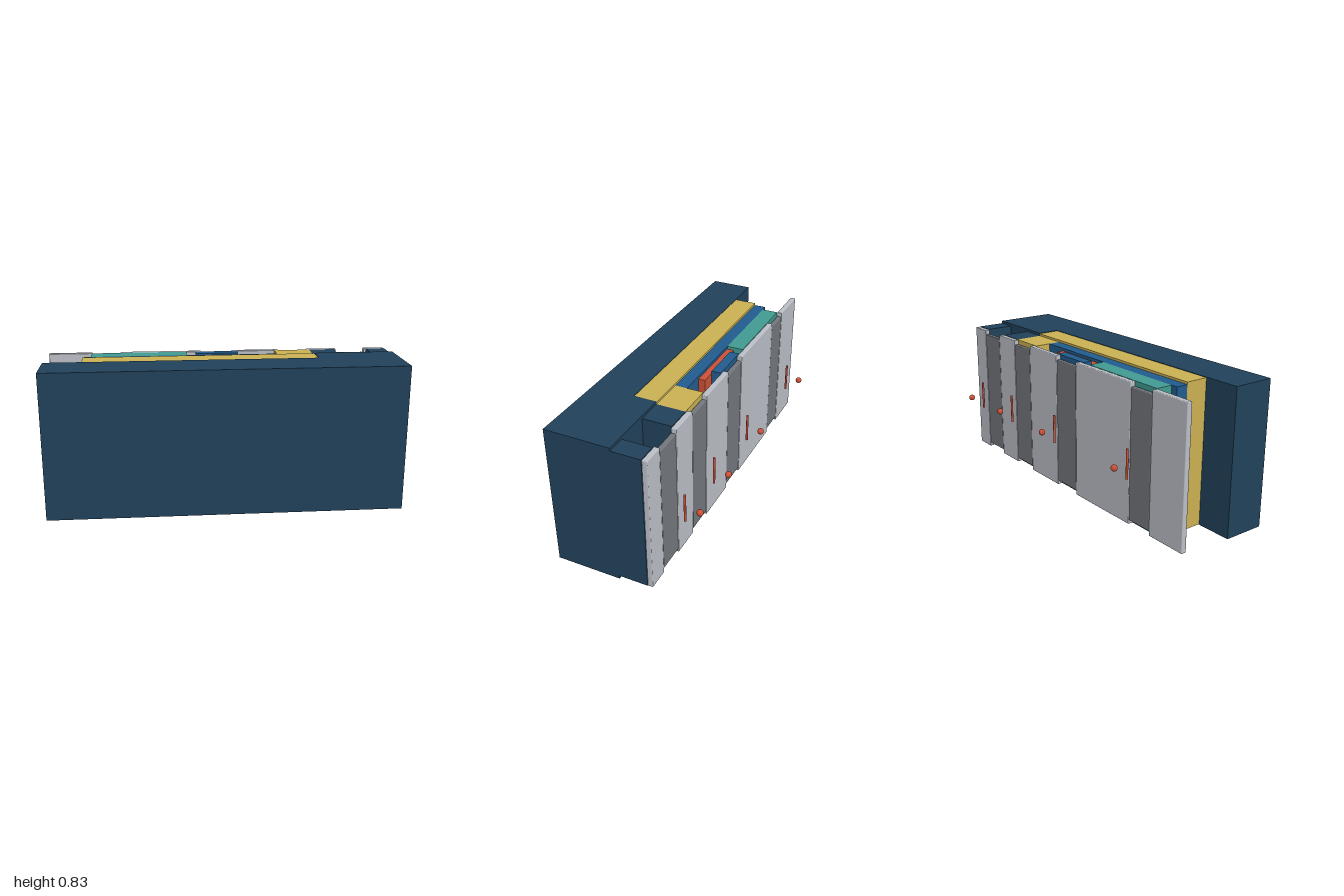
import * as THREE from 'three';
import { RoundedBoxGeometry } from 'three/addons/geometries/RoundedBoxGeometry.js';

const mat = (name, color) => new THREE.MeshStandardMaterial({ name, color });

export function createModel() {
  const model = new THREE.Group();
  model.name = 'layeredWallModel';
  const navy = mat('navy', 0x21415a);
  const yellow = mat('mustard', 0xc9b052);
  const blue = mat('blue', 0x225b8d);
  const teal = mat('teal', 0x409a90);
  const red = mat('red', 0xcb5036);
  const lightGrey = mat('lightGrey', 0xbabec5);
  const darkGrey = mat('darkGrey', 0x72767b);

  const add = (name, geometry, material, x, y, z) => {
    const mesh = new THREE.Mesh(geometry, material);
    mesh.name = name;
    mesh.position.set(x, y, z);
    model.add(mesh);
  };
  // Block given by its x, y and z limits; a radius rounds its edges
  const block = (name, material, [x0, x1], [y0, y1], [z0, z1], radius = 0) => {
    const size = [x1 - x0, y1 - y0, z1 - z0];
    const geometry = radius
      ? new RoundedBoxGeometry(...size, 2, radius)
      : new THREE.BoxGeometry(...size);
    add(name, geometry, material, (x0 + x1) / 2, (y0 + y1) / 2, (z0 + z1) / 2);
  };

  // Height ranges: full wall, filled recess, inner blocks, doors
  const full = [0, 0.833], filled = [0.003, 0.83], inner = [0.02, 0.817];
  const stepped = [0.036, 0.801], door = [0.045, 0.792];
  const back = -0.162;

  // Front wall with its deep end
  block('frontWall', navy, [-1, 1], full, [0.135, 0.38]);
  block('deepEnd', navy, [0.54, 1], full, [0.005, 0.135]);
  block('innerPier', navy, [0.54, 0.69], inner, [back, 0.005]);
  block('endPier', navy, [0.89, 1], inner, [back, 0.005]);

  // Layers in the recess
  block('recessLayer', yellow, [-0.79, 0.54], filled, [0.003, 0.135]);
  block('recessReturn', yellow, [0.33, 0.54], inner, [back, 0.003]);
  block('middleLayer', blue, [-0.79, 0.33], inner, [-0.066, 0.003]);
  block('cabinetBlock', teal, [-0.75, -0.197], inner, [back, -0.066]);
  block('thinLayer', red, [-0.193, 0.19], stepped, [-0.106, -0.066]);
  block('smallBlock', blue, [-0.143, 0.106], inner, [back, -0.106]);

  // Rear panels and the doors between them
  const edges = [-1, -0.75, -0.585, -0.11, 0.075, 0.355, 0.525, 0.705, 0.875, 1];
  for (let i = 0; i < edges.length - 1; i++) {
    const span = [edges[i], edges[i + 1]];
    if (i % 2 === 0) {
      block('rearPanel', lightGrey, span, inner, [-0.194, -0.163], 0.005);
      continue;
    }
    block('door', darkGrey, span, door, [-0.193, -0.165], 0.005);
    // Handle bar and knob floating behind each door
    const x = (span[0] + span[1]) / 2;
    add('doorHandle', new THREE.CylinderGeometry(0.0065, 0.0065, 0.167, 16), red, x, 0.418, -0.278);
    add('doorKnob', new THREE.SphereGeometry(0.018, 24, 16), red, x, 0.418, -0.362);
  }
  return model;
}
